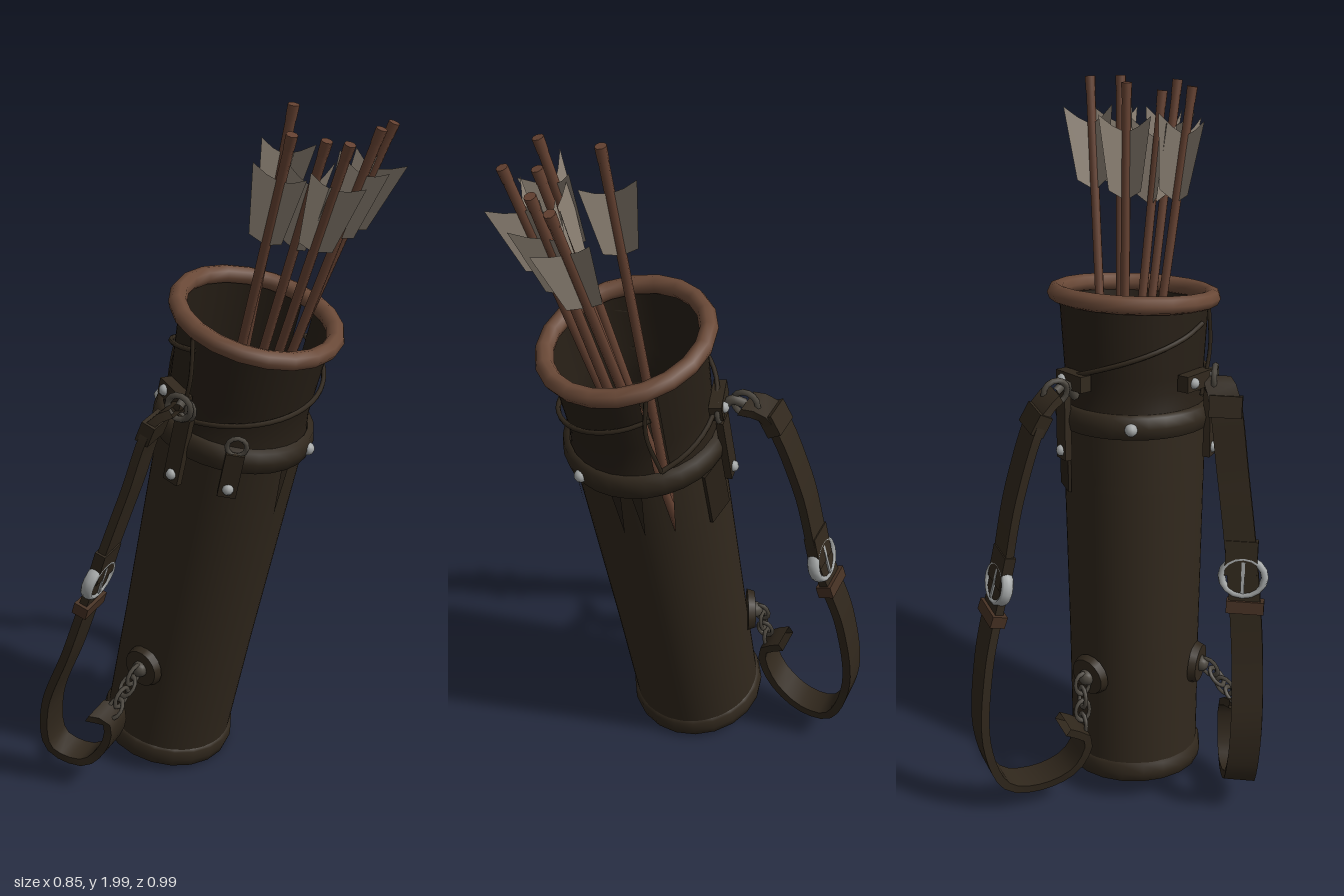
import * as THREE from 'three';

const mat = (name, color, side = THREE.FrontSide) => {
  const m = new THREE.MeshStandardMaterial({ color, side });
  m.name = name;
  return m;
};
const V = (x, y, z) => new THREE.Vector3(x, y, z);

export function createModel() {
  const root = new THREE.Group();
  root.name = 'quiver';
  const leather = mat('leather', 0x30271c, THREE.DoubleSide);
  const darkLeather = mat('darkLeather', 0x271f16, THREE.DoubleSide);
  const trim = mat('rimLeather', 0x6a4937);
  const keeperLeather = mat('keeperLeather', 0x463123);
  const wood = mat('arrowWood', 0x644131);
  const feather = mat('feather', 0x8b8073, THREE.DoubleSide);
  const steel = mat('steel', 0xa3a6a6);
  const iron = mat('darkIron', 0x4b463e);

  const add = (parent, name, geo, material) => {
    const m = new THREE.Mesh(geo, material);
    m.name = name;
    parent.add(m);
    return m;
  };

  // Leaning case: everything inside uses the case's own upright axis
  const base = V(0.01, 0.055, -0.065);
  const quiver = new THREE.Group();
  quiver.name = 'case';
  quiver.position.copy(base);
  quiver.quaternion.setFromUnitVectors(V(0, 1, 0), V(0.12, 1.385, 0.233).normalize());
  root.add(quiver);

  const lathe = (pts, seg = 28) =>
    new THREE.LatheGeometry(pts.map(([r, y]) => new THREE.Vector2(r, y)), seg);
  // Put a part on the case wall, its +z pointing outward
  const onWall = (mesh, angle, y, r) => {
    mesh.position.set(Math.sin(angle) * r, y, Math.cos(angle) * r);
    mesh.rotation.y = angle;
    return mesh;
  };

  add(quiver, 'body', lathe([[0.185, 0], [0.189, 0.4], [0.198, 0.885]], 64), leather);
  add(quiver, 'bottom', lathe([[0, -0.015], [0.185, -0.015]]), leather);
  add(quiver, 'baseBand', lathe([[0.18, -0.015], [0.193, -0.012], [0.198, 0.012],
    [0.195, 0.04], [0.184, 0.046]], 20), leather);

  // Upper wall: one panel wrapped round, open at a pointed slit on the left
  const radius = (y) => (y < 1.08 ? 0.198 + (y - 0.88) * 0.02
    : y < 1.15 ? 0.202 - (y - 1.08) * 0.15 : 0.1915 + (y - 1.15) * 0.06);
  const slit = 1.6;
  const wall = (y0, y1) => {
    const g = new THREE.PlaneGeometry(1, 1, 64, 8);
    const p = g.attributes.position;
    for (let i = 0; i < p.count; i++) {
      const y = y0 + (p.getY(i) + 0.5) * (y1 - y0);
      const half = 0.11 * Math.min(1, (y - 0.88) / 0.22);
      const a = slit + half + (p.getX(i) + 0.5) * (Math.PI * 2 - 2 * half);
      p.setXYZ(i, Math.sin(a) * radius(y), y, Math.cos(a) * radius(y));
    }
    g.computeVertexNormals();
    return g;
  };
  add(quiver, 'upperWall', wall(0.88, 1.08), leather);
  add(quiver, 'neck', wall(1.08, 1.4), darkLeather);

  // Thin pointed folds below the belt
  const dart = new THREE.Shape([[-0.016, 0], [0, -0.17], [0.016, 0]].map(([x, y]) => new THREE.Vector2(x, y)));
  for (const a of [0.05, 0.92, 1.2])
    onWall(add(quiver, 'fold', new THREE.ShapeGeometry(dart), darkLeather), a, 1.06, 0.205);

  // Rolled rim, tipped a little forward
  const rim = add(quiver, 'rim', new THREE.TorusGeometry(0.215, 0.025, 8, 20), trim);
  rim.position.y = 1.4;
  rim.rotation.x = Math.PI / 2 + 0.08;

  // Belt with studs
  add(quiver, 'belt', lathe([[0.2, 1.04], [0.218, 1.045], [0.224, 1.075], [0.218, 1.105],
    [0.2, 1.11]]), leather);
  for (const a of [0.45, 3.6])
    onWall(add(quiver, 'beltStud', new THREE.SphereGeometry(0.018, 10, 8), steel), a, 1.075, 0.22);

  // Riveted tabs and rings around the belt: [angle, height, length]
  for (const [a, y, h] of [[-0.75, 1.04, 0.13], [-1.45, 1.06, 0.2], [2.6, 1.06, 0.2]]) {
    onWall(add(quiver, 'tab', new THREE.BoxGeometry(0.05, h, 0.02), leather), a, y, 0.224);
    onWall(add(quiver, 'tabRivet', new THREE.SphereGeometry(0.016, 8, 6), steel), a, y - h / 2 + 0.025, 0.233);
    onWall(add(quiver, 'tabRing', new THREE.TorusGeometry(0.026, 0.007, 6, 12), iron), a, y + h / 2 + 0.02, 0.222);
  }
  onWall(add(quiver, 'patch', new THREE.BoxGeometry(0.09, 0.17, 0.009), darkLeather), 2.35, 0.94, 0.2);

  // Toggles lying against the neck where the straps hang
  for (const a of [-1.75, 2.75]) {
    onWall(add(quiver, 'toggle', new THREE.BoxGeometry(0.11, 0.045, 0.035), leather), a, 1.19, 0.212);
    onWall(add(quiver, 'toggleStud', new THREE.SphereGeometry(0.016, 8, 6), steel), a - 0.12, 1.19, 0.23);
  }

  // Two cords climbing half way round the neck, each tied up to the rim
  const tube = (parent, name, pts, r, material) => add(parent, name,
    new THREE.TubeGeometry(new THREE.CatmullRomCurve3(pts), 24, r, 6), material);
  for (const [start, y0, y1] of [[-Math.PI / 2, 1.14, 1.3], [Math.PI / 2, 1.12, 1.34]]) {
    const pts = [];
    for (let i = 0; i <= 10; i++) {
      const a = start + (i / 10) * Math.PI;
      pts.push(V(Math.sin(a) * 0.21, y0 + (y1 - y0) * i / 10, Math.cos(a) * 0.21));
    }
    tube(quiver, 'neckCord', pts, 0.007, leather);
    const s = Math.sin(start);
    tube(quiver, 'rimTie', [V(0.228 * s, 1.4, 0), V(0.224 * s, 1.27, 0.02), V(0.21 * s, y0, 0)], 0.006, leather);
  }

  // Arrows: [tip, buried end, roll]
  const vane = new THREE.Shape([[0, -0.31], [0.05, -0.28], [0.08, -0.08], [0.04, -0.11],
    [0, -0.13]].map(([x, y]) => new THREE.Vector2(x, y)));
  const arrows = [
    [V(0.05, 1.97, 0.35), V(0.065, 0.7, 0), 0.5],
    [V(0.145, 1.95, 0.45), V(0.1, 0.7, 0.04), 0.7],
    [V(0.15, 1.94, 0.37), V(0.1, 0.7, 0.01), 0.2],
    [V(0.18, 1.995, 0.225), V(0.09, 0.7, 0.02), 0.9],
    [V(0.3, 1.95, 0.41), V(0.11, 0.7, 0.04), 0.4],
    [V(0.38, 1.945, 0.38), V(0.12, 0.7, 0), 0.8],
  ];
  for (const [tip, end, roll] of arrows) {
    const arrow = new THREE.Group();
    arrow.name = 'arrow';
    const len = tip.distanceTo(end);
    arrow.position.copy(tip);
    arrow.quaternion.setFromUnitVectors(V(0, 1, 0), tip.clone().sub(end).normalize());
    add(arrow, 'shaft', new THREE.CylinderGeometry(0.013, 0.013, len, 8), wood).position.y = -len / 2;
    add(arrow, 'nock', new THREE.CylinderGeometry(0.015, 0.014, 0.04, 8), wood).position.y = -0.02;
    for (let i = 0; i < 3; i++)
      add(arrow, 'feather', new THREE.ShapeGeometry(vane), feather).rotation.y = roll + i * Math.PI * 2 / 3;
    root.add(arrow);
  }

  // Flat strap: a rectangular section swept along a curve with fixed width direction
  const ribbon = (curve, W, w, t, n = 48) => {
    const pos = [], idx = [];
    const corners = [[-1, -1], [1, -1], [1, 1], [-1, 1]];
    for (let s = 0; s < 4; s++) {
      const start = pos.length / 3;
      for (let i = 0; i <= n; i++) {
        const p = curve.getPointAt(i / n);
        const N = W.clone().cross(curve.getTangentAt(i / n)).normalize();
        for (const [a, b] of [corners[s], corners[(s + 1) % 4]])
          pos.push(...p.clone().addScaledVector(W, a * w / 2).addScaledVector(N, b * t / 2).toArray());
        const k = start + i * 2;
        if (i < n) idx.push(k, k + 1, k + 2, k + 1, k + 3, k + 2);
      }
    }
    const g = new THREE.BufferGeometry();
    g.setAttribute('position', new THREE.Float32BufferAttribute(pos, 3));
    g.setIndex(idx);
    g.computeVertexNormals();
    return g;
  };

  const straps = [
    { name: 'rightStrap', W: V(0.93, 0, -0.36), disc: V(-0.155, 0.37, 0.02), anchor: V(-0.09, 1.2, 0.14),
      pts: [[-0.13, 1.24, 0.15], [-0.17, 1.215, 0.12], [-0.23, 1, 0.07], [-0.295, 0.74, 0.01],
        [-0.345, 0.5, -0.05], [-0.38, 0.28, -0.12], [-0.365, 0.13, -0.12], [-0.31, 0.1, -0.04],
        [-0.275, 0.18, 0.02], [-0.275, 0.26, 0.03], [-0.32, 0.285, 0]] },
    { name: 'leftStrap', W: V(0.79, 0, 0.61), disc: V(0.08, 0.39, -0.205), anchor: V(0.19, 1.2, -0.06),
      pts: [[0.21, 1.24, -0.13], [0.22, 1.215, -0.19], [0.255, 1, -0.28], [0.28, 0.74, -0.34],
        [0.295, 0.5, -0.42], [0.29, 0.25, -0.455], [0.25, 0.1, -0.42], [0.18, 0.08, -0.355],
        [0.1, 0.13, -0.29], [0.07, 0.23, -0.265], [0.11, 0.275, -0.31]] },
  ];
  for (const { name, W, disc, anchor, pts } of straps) {
    W.normalize();
    const g = new THREE.Group();
    g.name = name;
    root.add(g);
    const P = pts.map((p) => V(...p));
    const curve = new THREE.CatmullRomCurve3(P);
    add(g, 'strap', ribbon(curve, W, 0.088, 0.024), leather);
    // Align a part to the strap at a given height on its long side
    const onStrap = (mesh, y) => {
      let u = 0;
      while (u < 0.6 && curve.getPointAt(u).y > y) u += 0.005;
      const N = W.clone().cross(curve.getTangentAt(u)).normalize();
      mesh.quaternion.setFromRotationMatrix(new THREE.Matrix4().makeBasis(W, N.clone().cross(W), N));
      mesh.position.copy(curve.getPointAt(u));
      return mesh;
    };
    onStrap(add(g, 'buckle', new THREE.TorusGeometry(0.056, 0.01, 8, 16), steel), 0.73).scale.set(1.08, 0.95, 1.8);
    onStrap(add(g, 'bucklePin', new THREE.BoxGeometry(0.01, 0.09, 0.034), steel), 0.73);
    onStrap(add(g, 'keeper', new THREE.BoxGeometry(0.105, 0.035, 0.044), keeperLeather), 0.645);
    onStrap(add(g, 'strapFold', new THREE.BoxGeometry(0.09, 0.1, 0.032), leather), 0.78);
    onStrap(add(g, 'strapEndLoop', new THREE.BoxGeometry(0.09, 0.06, 0.04), leather), 1.19);

    // Upper hook to the neck
    tube(g, 'upperHook', [P[0], P[0].clone().lerp(anchor, 0.5).add(V(0, 0.03, 0)), anchor], 0.013, iron);
    const ring = add(g, 'upperRing', new THREE.TorusGeometry(0.034, 0.009, 6, 14), iron);
    ring.position.copy(P[0]);
    ring.lookAt(P[0].clone().add(W));

    // Lower disc on the body and chain of links to the strap end
    const axis = base.clone().add(V(0.029, 0.32, 0.055));
    const out = disc.clone().sub(axis).setY(0).normalize();
    const plate = add(g, 'anchorDisc', new THREE.CylinderGeometry(0.055, 0.062, 0.022, 16), leather);
    plate.position.copy(disc);
    plate.quaternion.setFromUnitVectors(V(0, 1, 0), out);
    const stud = add(g, 'anchorStud', new THREE.SphereGeometry(0.024, 10, 8), iron);
    stud.position.copy(disc).addScaledVector(out, 0.012);
    const from = disc.clone().addScaledVector(out, 0.03);
    const to = P[9].clone().add(V(0, 0.015, 0));
    for (let i = 0; i < 4; i++) {
      const link = add(g, 'chainLink', new THREE.TorusGeometry(0.022, 0.006, 6, 12), iron);
      link.position.lerpVectors(from, to, (i + 0.3) / 3.6);
      link.quaternion.setFromUnitVectors(V(0, 1, 0), to.clone().sub(from).normalize());
      link.rotateY(i * Math.PI / 2);
      link.scale.y = 1.4;
    }
  }
  return root;
}
